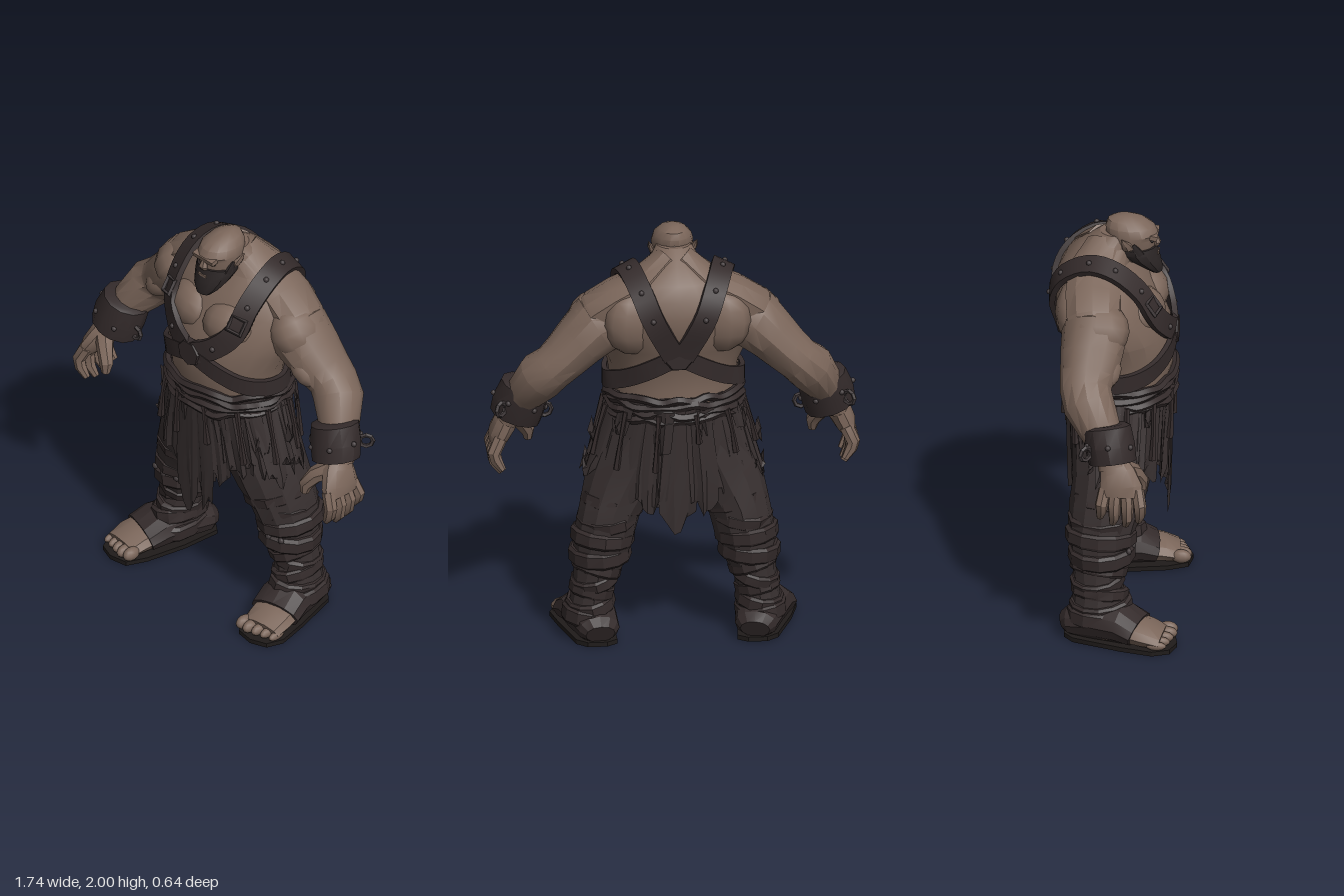
import * as THREE from 'three';
import { toCreasedNormals } from 'three/addons/utils/BufferGeometryUtils.js';

const V = (x, y, z) => new THREE.Vector3(x, y, z);
const paint = (name, color, side = THREE.FrontSide) => {
  const m = new THREE.MeshStandardMaterial({ color, side });
  m.name = name;
  return m;
};
let seed = 7;
const rnd = () => (seed = (seed * 16807) % 2147483647) / 2147483647;

// Skin a list of rings (equal point counts) into a capped solid
function skinRings(rings) {
  const n = rings[0].length, pos = [], idx = [];
  rings.forEach(r => r.forEach(p => pos.push(p.x, p.y, p.z)));
  for (let i = 0; i < rings.length - 1; i++) for (let j = 0; j < n; j++) {
    const k = (j + 1) % n, a = i * n + j, b = i * n + k;
    idx.push(a, a + n, b, b, a + n, b + n);
  }
  [0, rings.length - 1].forEach((i, end) => {
    const c = rings[i].reduce((s, p) => s.add(p), V(0, 0, 0)).divideScalar(n);
    const m = pos.length / 3;
    pos.push(c.x, c.y, c.z);
    for (let j = 0; j < n; j++) {
      const a = i * n + j, b = i * n + (j + 1) % n;
      end ? idx.push(m, b, a) : idx.push(m, a, b);
    }
  });
  const g = new THREE.BufferGeometry();
  g.setAttribute('position', new THREE.Float32BufferAttribute(pos, 3));
  g.setIndex(idx);
  g.computeVertexNormals();
  return g;
}

// Elliptical cross-sections [x, y, z, radiusU, radiusV] along a path
function loft(secs, { n = 10, ref = V(0, 0, 1), axis = null, wob = 0 } = {}) {
  const c = secs.map(s => V(s[0], s[1], s[2]));
  return skinRings(secs.map((s, i) => {
    const t = axis || c[Math.min(i + 1, c.length - 1)].clone().sub(c[Math.max(i - 1, 0)]).normalize();
    const u = t.clone().cross(ref).normalize(), v = u.clone().cross(t);
    return Array.from({ length: n }, (_, j) => {
      const a = j / n * Math.PI * 2, k = 1 + wob * (rnd() - 0.5);
      return c[i].clone().addScaledVector(u, Math.cos(a) * s[3] * k).addScaledVector(v, Math.sin(a) * s[4] * k);
    });
  }));
}

// Torso sections [x, y, z, half width, half depth]
const TORSO = [[0, 1.12, 0, .29, .22], [0, 1.25, .02, .295, .232], [0, 1.35, .015, .31, .237], [0, 1.45, -.005, .355, .247],
  [0, 1.55, -.045, .385, .247], [0, 1.64, -.07, .38, .228], [0, 1.72, -.085, .34, .2], [0, 1.79, -.095, .24, .155],
  [0, 1.86, -.06, .12, .12], [0, 1.92, -.01, .08, .08]];

// Point just outside the torso, front (s = 1) or back (s = -1)
function onTorso(x, y, s, off = .018) {
  const i = Math.max(0, TORSO.findIndex(q => q[1] > y) - 1), a = TORSO[i], b = TORSO[i + 1];
  const f = (y - a[1]) / (b[1] - a[1]), L = k => a[k] + (b[k] - a[k]) * f;
  return V(x, y, L(2) + s * (L(4) * Math.sqrt(Math.max(0, 1 - (x / L(3)) ** 2)) + off));
}
const outward = p => p.clone().sub(V(p.x * .5, Math.min(p.y, 1.55), -.03)).normalize();

// Flat leather band following points over the torso
function strapGeo(points, w, h) {
  const curve = new THREE.CatmullRomCurve3(points), N = 28, rings = [];
  for (let i = 0; i <= N; i++) {
    const p = curve.getPoint(i / N), t = curve.getTangent(i / N), n = outward(p);
    const s = t.clone().cross(n).normalize();
    n.copy(s).cross(t);
    rings.push([[1, 1], [-1, 1], [-1, -1], [1, -1]].map(([a, b]) =>
      p.clone().addScaledVector(s, a * w / 2).addScaledVector(n, b * h / 2)));
  }
  return skinRings(rings);
}

export function createModel() {
  const root = new THREE.Group();
  root.name = 'brute';
  const skin = paint('skin', 0x7b665a), cloth = paint('cloth', 0x383030, THREE.DoubleSide);
  const leather = paint('leather', 0x342b2b), hair = paint('hair', 0x2b2525);
  const sole = paint('sole', 0x1f1b1a), metal = paint('metal', 0x40393a);
  const add = (name, geo, mat, crease = .55) => {
    const m = new THREE.Mesh(toCreasedNormals(geo, crease), mat);
    m.name = name;
    root.add(m);
    return m;
  };
  const ball = (name, mat, p, s, rot = [0, 0, 0]) => {
    const m = add(name, new THREE.SphereGeometry(1, 12, 8), mat, .8);
    m.position.set(...p); m.scale.set(...s); m.rotation.set(...rot);
    return m;
  };
  const box = (name, mat, p, s, rot = [0, 0, 0]) => {
    const m = add(name, new THREE.BoxGeometry(...s), mat);
    m.position.set(...p); m.rotation.set(...rot);
  };
  const up = V(0, 1, 0);

  // Torso and head
  add('torso', loft(TORSO, { n: 20, axis: up }), skin);
  add('neck', loft([[0, 1.72, -.1, .15, .13], [0, 1.8, -.05, .115, .12], [0, 1.88, .0, .085, .085], [0, 1.94, .02, .07, .07]], { n: 12, axis: up }), skin);
  add('head', loft([[0, 1.78, .06, .06, .07], [0, 1.81, .06, .08, .095], [0, 1.86, .06, .096, .11], [0, 1.895, .058, .097, .112],
    [0, 1.915, .06, .099, .122], [0, 1.95, .05, .09, .115], [0, 1.98, .035, .065, .088], [0, 2, .025, .028, .04]], { n: 14, axis: up }), skin);
  add('beard', loft([[0, 1.72, .175, .04, .026], [0, 1.75, .152, .07, .05], [0, 1.79, .112, .092, .082],
    [0, 1.825, .088, .103, .096], [0, 1.852, .08, .1, .097]], { n: 12, axis: up }), hair);
  box('mouth', skin, [0, 1.818, .184], [.05, .012, .008]);
  box('brow', skin, [0, 1.908, .165], [.13, .022, .035], [.2, 0, 0]);
  add('nose', loft([[0, 1.848, .17, .02, .016], [0, 1.865, .176, .025, .02], [0, 1.9, .168, .012, .012]], { n: 6, axis: up }), skin);

  // Kilt core
  add('hips', loft([[0, .7, -.02, .2, .12], [0, .82, -.01, .32, .19], [0, 1, 0, .315, .215], [0, 1.22, .01, .29, .225]], { n: 16, wob: .04, axis: up }), cloth);

  for (const s of [1, -1]) {
    const path = a => a.map(q => [q[0] * s, ...q.slice(1)]);

    // Face sides
    ball('eye', hair, [s * .04, 1.888, .158], [.022, .008, .009]);
    add('sideburn', loft(path([[.088, 1.83, .1, .012, .03], [.092, 1.86, .085, .01, .022], [.094, 1.885, .07, .006, .012]]), { n: 6 }), hair);
    add('ear', loft(path([[.09, 1.865, .05, .018, .028], [.105, 1.89, .04, .012, .024], [.113, 1.92, .02, .002, .003]]), { n: 6 }), skin);

    // Chest and shoulder muscle
    ball('pectoral', skin, [s * .125, 1.565, .115], [.145, .115, .105], [-.35, s * .3, s * .15]);
    add('trapezius', loft(path([[.03, 1.86, -.06, .07, .09], [.14, 1.77, -.1, .075, .13], [.27, 1.7, -.1, .09, .135], [.37, 1.63, -.09, .095, .13], [.44, 1.56, -.08, .08, .11]])), skin);
    ball('shoulderBlade', skin, [s * .2, 1.6, -.18], [.15, .16, .095], [0, s * .3, 0]);
    ball('deltoid', skin, [s * .385, 1.58, -.07], [.12, .14, .15], [0, 0, s * .6]);

    // Arm
    add('arm', loft(path([[.26, 1.6, -.08, .13, .13], [.37, 1.56, -.085, .15, .155], [.45, 1.48, -.095, .128, .145], [.52, 1.41, -.105, .115, .13],
      [.575, 1.36, -.11, .108, .12], [.63, 1.31, -.09, .117, .12], [.69, 1.22, -.035, .095, .1], [.745, 1.12, .02, .068, .07], [.77, 1.06, .04, .06, .075]]), { n: 12 }), skin);
    ball('biceps', skin, [s * .48, 1.43, -.02], [.1, .065, .07], [0, 0, -s * .75]);

    // Cuff with rings and rivets
    add('cuff', loft(path([[.69, 1.245, -.005, .095, .095], [.694, 1.235, -.004, .116, .115], [.72, 1.15, .015, .128, .118], [.738, 1.075, .03, .122, .112], [.74, 1.07, .03, .08, .08]]),
      { n: 12, axis: V(s * .3, -.94, .14).normalize() }), leather);
    [[.6, 1.1, .03, 0], [.815, 1.15, -.09, .8]].forEach(([x, y, z, r]) => {
      const t = add('cuffRing', new THREE.TorusGeometry(.032, .011, 5, 8), metal);
      t.position.set(s * x, y, z); t.rotation.y = s * r;
    });
    for (let i = 0; i < 6; i++) {
      const a = i / 6 * 6.28;
      ball('cuffRivet', metal, [s * (.72 + Math.cos(a) * .121), 1.155 + Math.cos(a) * .04, .015 + Math.sin(a) * .116], [.013, .013, .013]);
    }

    // Hand
    add('palm', loft(path([[.755, 1.1, .03, .05, .06], [.78, 1.04, .055, .058, .085], [.81, .975, .075, .052, .105], [.825, .935, .075, .036, .1]]), { n: 10 }), skin);
    for (let f = 0; f < 4; f++) {
      const z = .15 - f * .05, w = .155 - f * .06, d = [.01, -.012, -.005, .025][f];
      add('finger', loft(path([[.81, .97, z, .034, .031], [.842, .9, w + .01, .032, .031], [.832, .845 + d, w + .01, .029, .028], [.8, .795 + d, w, .017, .017]]), { n: 7 }), skin);
    }
    add('thumb', loft(path([[.76, 1.05, .08, .05, .048], [.705, 1.01, .13, .042, .04], [.667, .95, .158, .034, .033], [.665, .905, .165, .02, .02]]), { n: 7 }), skin);

    // Harness over the shoulder and around the ribs
    const on = (x, y, d, o) => { const p = onTorso(x, y, d, o); p.x *= s; return p; };
    const shoulder = [on(.03, 1.43, 1), on(.13, 1.49, 1, .024), on(.215, 1.59, 1, .04), V(s * .232, 1.71, .115), V(s * .235, 1.81, .0),
      V(s * .215, 1.835, -.12), V(s * .17, 1.76, -.25), on(.12, 1.64, -1), on(.02, 1.45, -1, .02)];
    add('shoulderStrap', strapGeo(shoulder, .105, .028), leather, .3);
    add('ribStrap', strapGeo([on(.02, 1.41, 1), on(.16, 1.36, 1), on(.25, 1.305, 1), V(s * .312, 1.275, .07), V(s * .318, 1.27, -.04),
      on(.25, 1.3, -1), on(.15, 1.36, -1), on(.02, 1.44, -1)], .085, .024), leather, .3);
    const buckle = add('buckle', new THREE.TorusGeometry(.05, .011, 4, 4), metal);
    buckle.position.set(s * .224, 1.64, .18); buckle.rotation.set(-.6, s * .4, .78);
    [1, 3, 4, 5, 6, 7].forEach(i => {
      const p = shoulder[i].clone().addScaledVector(outward(shoulder[i]), .014);
      ball('strapStud', metal, p.toArray(), [.013, .013, .013]);
    });

    // Leg
    add('trouserLeg', loft(path([[.14, 1, -.01, .16, .2], [.205, .85, -.01, .18, .195], [.26, .73, -.02, .165, .18], [.305, .62, -.04, .145, .17], [.33, .5, -.06, .14, .155],
      [.35, .4, -.06, .125, .14], [.375, .3, -.07, .1, .115], [.39, .2, -.06, .1, .125], [.4, .08, -.07, .11, .135]]), { n: 12, wob: .05 }), cloth, .3);

    // Wrappings: [y, x, z, width, depth, height, tilt]
    [[.655, .29, -.03, .15, .175, .07, .25], [.585, .315, -.05, .145, .165, .07, -.15], [.5, .338, -.06, .152, .168, .075, .1], [.415, .348, -.055, .147, .158, .08, -.08],
      [.345, .365, -.065, .118, .135, .06, .3], [.29, .377, -.07, .113, .128, .06, -.25], [.235, .387, -.06, .108, .135, .06, .2], [.17, .395, -.055, .115, .15, .07, -.18],
      [.11, .405, -.045, .125, .17, .08, .12]].forEach(([y, x, z, a, b, h, t]) => {
      const g = loft([[0, -h / 2, 0, a * .93, b * .93], [0, -h / 3, 0, a, b], [0, h / 3, 0, a, b], [0, h / 2, 0, a * .9, b * .9]], { n: 12, wob: .05 });
      const m = add('legWrap', g, leather, .3);
      m.position.set(s * x, y, z); m.rotation.set(t * .5, 0, s * t);
    });
    for (let i = 0; i < 3; i++) ball('shinStud', metal, [s * (.28 + i * .07), .455, .095 - Math.abs(i - 1) * .015], [.016, .016, .012]);

    // Foot, sole and toes (the right foot stands a little wider)
    const dx = s < 0 ? .035 : 0;
    const foot = a => a.map(q => [s * (q[0] + dx * Math.min(1, (q[2] + .22) / .35)), ...q.slice(1)]);
    add('foot', loft(foot([[.4, .065, -.02, .1, .06], [.42, .08, .08, .115, .065], [.438, .066, .17, .115, .056], [.447, .048, .24, .105, .04]]), { n: 10, ref: up }), skin);
    add('footWrap', loft(foot([[.362, .06, -.222, .07, .05], [.366, .075, -.19, .1, .07], [.39, .1, -.06, .12, .1], [.412, .1, .05, .128, .095], [.43, .075, .13, .128, .068]]), { n: 12, ref: up, wob: .04 }), leather, .3);
    const out = foot([[.28, 0, -.19], [.33, 0, -.225], [.42, 0, -.225], [.47, 0, -.18], [.53, 0, .05], [.56, 0, .2], [.53, 0, .28], [.45, 0, .31], [.36, 0, .295], [.315, 0, .2], [.28, 0, 0]]);
    const sg = new THREE.ExtrudeGeometry(new THREE.Shape(out.map(q => new THREE.Vector2(q[0], -q[2]))), { depth: .022, bevelEnabled: false });
    add('sole', sg.rotateX(-Math.PI / 2), sole);
    for (let i = 0; i < 5; i++) {
      const r = .033 - i * .003;
      ball('toe', skin, [s * (.36 + dx + i * .043), .02 + r, .26 - Math.max(0, i - 1) * .014], [r * .9, r, .048]);
    }
  }

  // Harness hubs
  [1, -1].forEach(d => {
    const hub = add(d > 0 ? 'chestHub' : 'backHub', new THREE.CylinderGeometry(.065, .08, .03, 7), leather);
    hub.position.copy(onTorso(0, d > 0 ? 1.415 : 1.45, d));
    hub.rotation.x = d * Math.PI / 2;
  });

  // Twisted rope belt
  for (let k = 0; k < 4; k++) {
    const pts = Array.from({ length: 26 }, (_, i) => {
      const a = i / 26 * Math.PI * 2, q = 1 + (rnd() - .5) * .06;
      return V(Math.sin(a) * .312 * q, 1.22 - k * .034 + (rnd() - .5) * .03, .005 + Math.cos(a) * .25 * q);
    });
    add('beltRope', new THREE.TubeGeometry(new THREE.CatmullRomCurve3(pts, true), 78, .021, 5, true), leather, .3);
  }

  // Ragged kilt strips: angle, top, length, angular width, layer offset
  const rag = (name, a, top, len, w, off) => {
    const g = new THREE.PlaneGeometry(1, 1, 5, 5), p = g.attributes.position;
    const folds = Array.from({ length: 6 }, () => (rnd() - .5) * .03);
    for (let i = 0; i < p.count; i++) {
      const u = p.getX(i), v = .5 - p.getY(i), b = a + u * w * (1 - .3 * v * v);
      const fold = off + folds[i % 6] * (.3 + v), jag = v > .95 ? rnd() * .07 + Math.abs(u) * .2 : 0;
      p.setXYZ(i, Math.sin(b) * (.3 + .125 * Math.min(1, v * len / .42) + fold), top - len * v + jag,
        Math.cos(b) * (.245 - .03 * v + fold));
    }
    g.computeVertexNormals();
    add(name, g, cloth, .3);
  };
  for (let i = 0; i < 20; i++) {
    const a = i / 20 * Math.PI * 2;
    const back = Math.cos(a) < -.75;
    rag('kiltStrip', a, 1.2, (back ? .52 : .42) + rnd() * .08, .5, 0);
    if (i % 2) rag('outerRag', a + .1, 1.17, .16 + rnd() * .14, .3, .02);
  }
  [[-.1, .76, .36], [.14, .72, .34], [0, .62, .7], [-.36, .56, .34], [.36, .54, .34],
    [Math.PI, .68, .5], [Math.PI - .3, .6, .4], [Math.PI + .3, .62, .4]].forEach(([a, l, w]) => rag('loincloth', a, 1.2, l, w, .006));

  // Cords hanging from the belt
  for (let i = 0; i < 12; i++) {
    const a = i / 12 * 6.28 + .25, x = Math.sin(a), z = Math.cos(a), l = .14 + rnd() * .16;
    add('beltCord', loft([[x * .335, 1.15, z * .26, .014, .014], [x * .37, 1.15 - l / 2, z * .262, .01, .01], [x * .395, 1.15 - l, z * .255, .017, .017]], { n: 5 }), leather);
  }
  return root;
}
